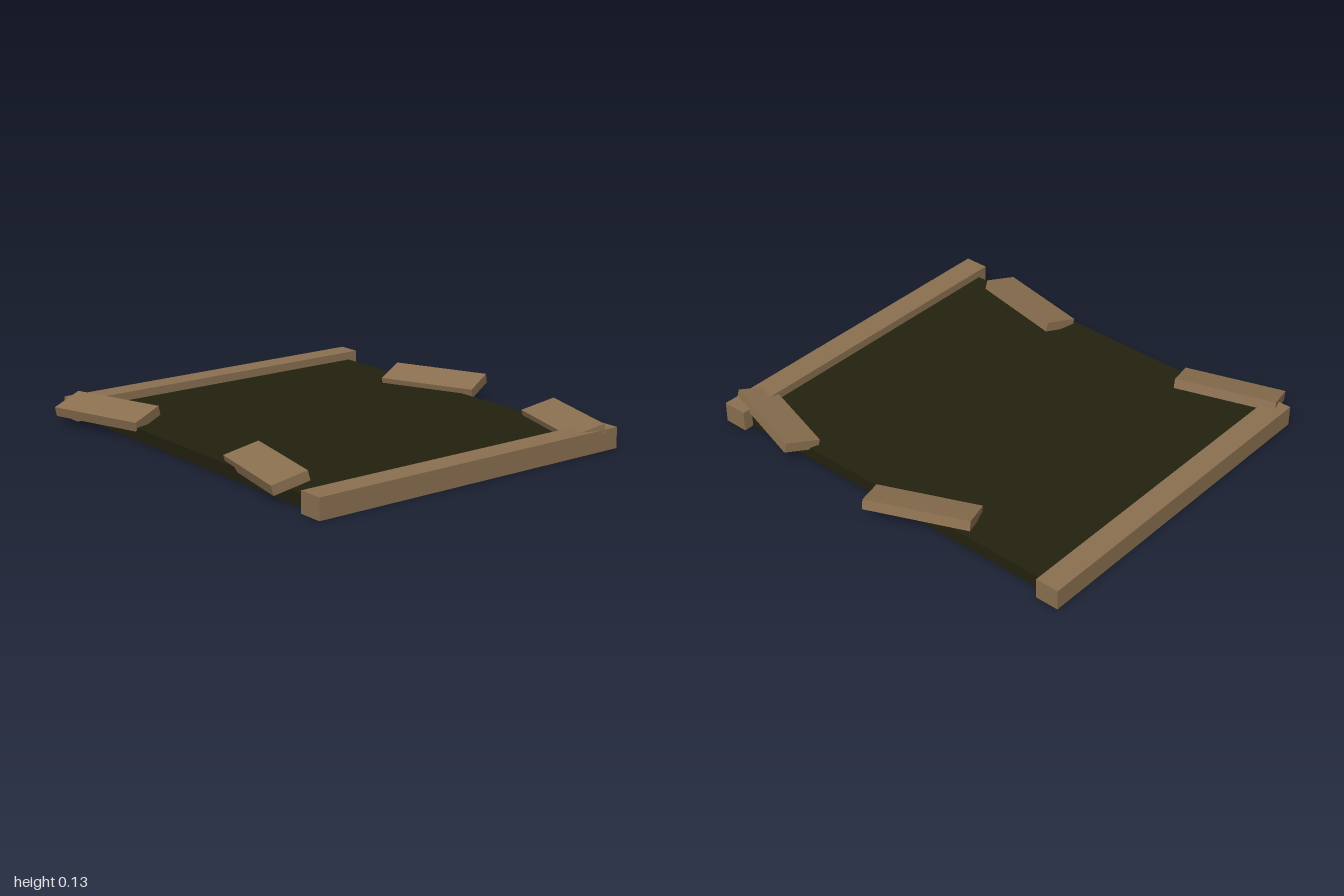
import * as THREE from 'three';

export function createModel() {
  const group = new THREE.Group();
  const wood = new THREE.MeshStandardMaterial({ name: 'wood', color: 0x8b7050 });
  const darkPanel = new THREE.MeshStandardMaterial({ name: 'darkPanel', color: 0x23210f });

  function box(name, material, size, position) {
    const mesh = new THREE.Mesh(new THREE.BoxGeometry(...size), material);
    mesh.name = name;
    mesh.position.set(...position);
    group.add(mesh);
    return mesh;
  }

  // dark base slab, tucked slightly into the rails
  box('basePanel', darkPanel, [1.84, 0.06, 1.58], [-0.02, 0.03, 0.01]);

  // side rails
  box('rightRail', wood, [0.115, 0.099, 1.68], [-0.9425, 0.0505, 0.01]);
  box('leftRail', wood, [0.12, 0.099, 1.68], [0.93, 0.0505, 0.01]);

  // loose planks, each turned about y and sloping down to the front: [x, z, turn]
  const planks = [
    [-0.696, 0.799, 0.312],
    [0.489, 0.748, -0.2],
    [-0.204, -0.781, 0.405],
    [0.735, -0.743, -0.3],
  ];
  planks.forEach(([x, z, turn], i) => {
    const plank = box('plank' + (i + 1), wood, [0.49, 0.047, 0.172], [x, 0.085, z]);
    plank.rotation.set(0.255, turn, 0, 'YXZ');
  });

  return group;
}
